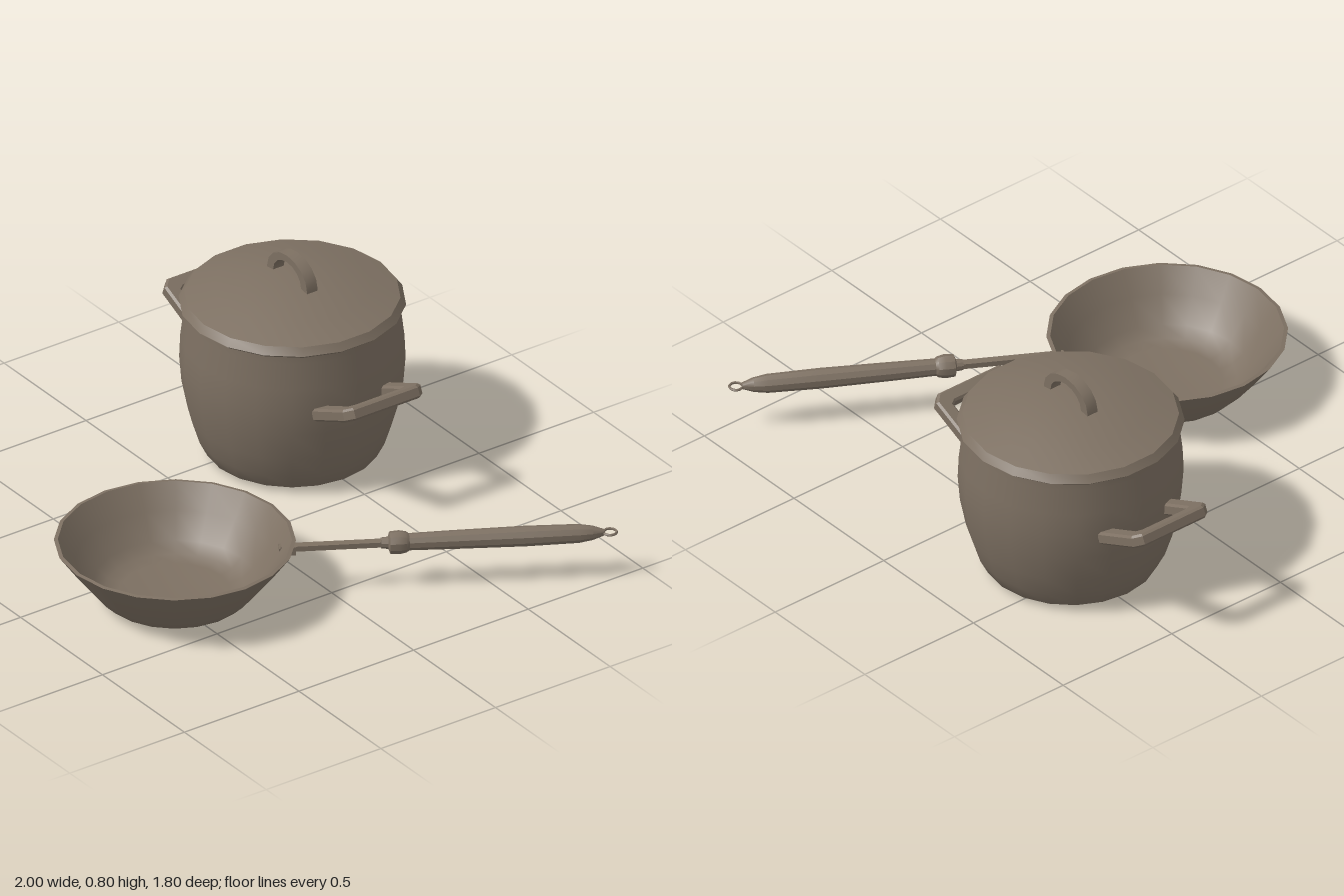
import * as THREE from 'three';
import { toCreasedNormals } from 'three/addons/utils/BufferGeometryUtils.js';

const metal = new THREE.MeshStandardMaterial({ color: 0x7d7062 });
metal.name = 'warm grey metal';

function part(name, geometry, parent, crease = 0.6) {
  const mesh = new THREE.Mesh(toCreasedNormals(geometry, crease), metal);
  mesh.name = name;
  parent.add(mesh);
  return mesh;
}

// Turned profile, listed as [radius, height] from the bottom up
function turned(profile, sides) {
  return new THREE.LatheGeometry(profile.map(([r, y]) => new THREE.Vector2(r, y)), sides);
}

function polygon(points) {
  return new THREE.Shape(points.map(([x, y]) => new THREE.Vector2(x, y)));
}

function createPot() {
  const pot = new THREE.Group();
  pot.name = 'stockPot';
  pot.position.set(-0.416, 0, -0.483);

  part('potBody', turned([
    [0, 0.008], [0.28, 0.004], [0.315, 0.025], [0.345, 0.085], [0.372, 0.17],
    [0.394, 0.28], [0.402, 0.38], [0.398, 0.47], [0.386, 0.57], [0.384, 0.605], [0, 0.605],
  ], 20), pot);

  part('lid', turned([
    [0, 0.6], [0.39, 0.598], [0.405, 0.61], [0.385, 0.638], [0.28, 0.668],
    [0.17, 0.693], [0.08, 0.705], [0, 0.707],
  ], 18), pot);

  // Arched strap on the lid
  const outer = [], inner = [];
  for (let i = 0; i <= 8; i++) {
    const a = Math.PI * (1 - i / 8);
    outer.push([0.122 * Math.cos(a), 0.705 + 0.095 * Math.sin(a)]);
    inner.unshift([0.085 * Math.cos(a), 0.705 + 0.068 * Math.sin(a)]);
  }
  const arch = polygon([
    [-0.122, 0.68], ...outer, [0.122, 0.68], [0.085, 0.68], ...inner, [-0.085, 0.68],
  ]);
  const strap = new THREE.ExtrudeGeometry(arch, { depth: 0.046, bevelEnabled: false });
  part('lidHandle', strap.translate(0, 0, -0.023), pot);

  // Two upswept side loops, half a turn apart
  const L = 0.238;
  const loop = polygon([
    [0, -0.17], [L - 0.03, -0.17], [L, -0.14], [L, 0.14], [L - 0.03, 0.17], [0, 0.17],
    [0, 0.115], [L - 0.065, 0.115], [L - 0.055, 0.1], [L - 0.055, -0.1], [L - 0.065, -0.115], [0, -0.115],
  ]);
  ['leftPotHandle', 'rightPotHandle'].forEach((name, i) => {
    const geo = new THREE.ExtrudeGeometry(loop, {
      depth: 0.031, bevelEnabled: true, bevelSize: 0.008, bevelOffset: -0.008,
      bevelThickness: 0.008, bevelSegments: 1,
    });
    geo.translate(0, 0, -0.0155).rotateX(-Math.PI / 2).rotateZ(0.42);
    geo.translate(0.36, 0.363, 0).rotateY(i * Math.PI);
    part(name, geo, pot, 0.4);
  });
  return pot;
}

function createPan() {
  const pan = new THREE.Group();
  pan.name = 'fryingPan';
  pan.position.set(0.195, 0, 0.466);

  // Thin-walled bowl, outside then inside
  part('panBowl', turned([
    [0, 0.008], [0.225, 0.008], [0.26, 0.02], [0.3, 0.06], [0.37, 0.15], [0.43, 0.234],
    [0.416, 0.236], [0.356, 0.15], [0.29, 0.065], [0.25, 0.032], [0.2, 0.022], [0, 0.02],
  ], 20), pan, 0.75);

  // Long handle pointing radially away from the bowl
  const handle = new THREE.Group();
  handle.name = 'panHandle';
  handle.position.y = 0.18;
  handle.rotation.y = -Math.PI / 6;
  pan.add(handle);

  part('handleRod', new THREE.BoxGeometry(0.03, 0.02, 0.4).translate(0, 0, -0.575), handle);
  part('handleTab', new THREE.BoxGeometry(0.036, 0.03, 0.06).translate(0, -0.008, -0.4), handle);
  part('grip', turned([
    [0, 0.735], [0.02, 0.735], [0.022, 0.76], [0.04, 0.766], [0.043, 0.8], [0.038, 0.825],
    [0.031, 0.835], [0.034, 1.0], [0.037, 1.25], [0.034, 1.44], [0.026, 1.49],
    [0.012, 1.53], [0, 1.532],
  ], 10).rotateX(-Math.PI / 2), handle);
  part('hangingRing', new THREE.TorusGeometry(0.024, 0.005, 5, 12)
    .rotateX(Math.PI / 2).translate(0, 0, -1.552), handle, 1);
  return pan;
}

export function createModel() {
  const model = new THREE.Group();
  model.name = 'cookware';
  model.add(createPot(), createPan());
  return model;
}
